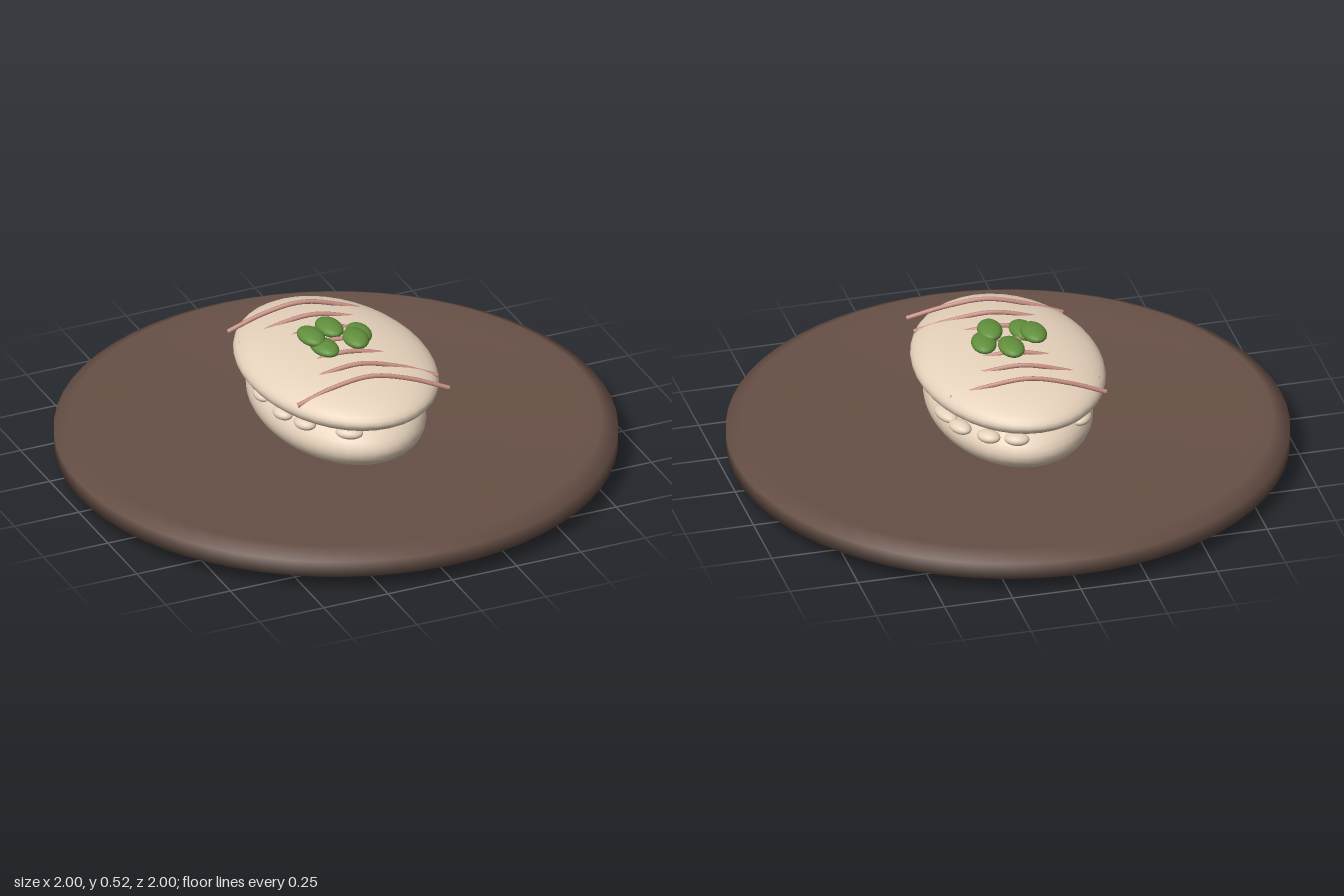
import * as THREE from 'three';

export function createModel() {
  const model = new THREE.Group();
  const paint = (name, color) => {
    const m = new THREE.MeshStandardMaterial({ color });
    m.name = name;
    return m;
  };
  const wood = paint('dark brown plate', 0x675046);
  const dough = paint('cream dough', 0xe8d4bd);
  const green = paint('leaf green', 0x618f3c);
  const sauce = paint('rosy sauce', 0xc68e83);

  const add = (name, geometry, material, parent = model) => {
    const mesh = new THREE.Mesh(geometry, material);
    mesh.name = name;
    parent.add(mesh);
    return mesh;
  };
  const group = (name) => {
    const g = new THREE.Group();
    g.name = name;
    model.add(g);
    return g;
  };
  const ball = new THREE.SphereGeometry(1, 24, 16);

  // Round plate: sloping underside, chamfered lip and a floor dipping to the middle
  const rim = [[0, 0], [0.71, 0], [1, 0.06], [1, 0.12], [0.94, 0.15], [0.88, 0.12], [0, 0.09]];
  add('plate', new THREE.LatheGeometry(rim.map(([x, y]) => new THREE.Vector2(x, y)), 64), wood);

  // Lower bun, an oval resting in the plate
  const lower = add('lowerBun', new THREE.SphereGeometry(1, 40, 24), dough);
  lower.scale.set(0.29, 0.145, 0.44);
  lower.position.y = 0.235;

  // Upper bun: wider and flatter, with a slightly full shoulder
  const shoulder = [];
  for (let i = 0; i <= 24; i++) {
    const a = (i / 24) * Math.PI;
    shoulder.push(new THREE.Vector2(Math.sin(a) ** (2 / 2.2), -Math.cos(a)));
  }
  const upper = add('upperBun', new THREE.LatheGeometry(shoulder, 40), dough);
  upper.scale.set(0.335, 0.095, 0.487);
  upper.position.y = 0.375;

  // Filling pieces around the seam: x, y, z, length
  const filling = group('filling');
  [
    [0.265, 0.287, -0.14, 0.065], [0.245, 0.295, -0.26, 0.05], [0.17, 0.305, -0.37, 0.045],
    [0.08, 0.308, -0.42, 0.045], [-0.19, 0.292, -0.3, 0.05], [-0.265, 0.29, -0.045, 0.05],
    [-0.26, 0.295, 0.12, 0.045], [-0.225, 0.3, 0.23, 0.045], [-0.12, 0.313, 0.38, 0.05],
  ].forEach(([x, y, z, length]) => {
    const piece = add('fillingPiece', ball, dough, filling);
    piece.position.set(x, y, z);
    piece.scale.set(0.033, 0.022, length);
    // lie along the edge of the oval
    piece.rotation.y = Math.atan2(-z / 0.19, x / 0.08);
  });

  // Seven arched sauce strands laid across the top
  const drizzle = group('drizzle');
  for (let i = 0; i < 7; i++) {
    const z = -0.28 + i * 0.1;
    const points = [-1, -0.5, 0, 0.5, 1].map((t) => new THREE.Vector3(
      t * 0.272, 0.4 + 0.075 * Math.cos(t * Math.PI / 2) ** 1.2, z + 0.05 * t - 0.017 * (1 - t * t)));
    const curve = new THREE.CatmullRomCurve3(points);
    add('sauceStrand', new THREE.TubeGeometry(curve, 32, 0.0085, 8), sauce, drizzle);
  }

  // Cluster of green garnish: x, y, z, yaw
  const garnish = group('garnish');
  [
    [-0.09, 0.498, -0.015, 0.05], [0.007, 0.484, -0.073, 0.03], [0.09, 0.475, -0.005, -0.12],
    [-0.065, 0.478, 0.045, 0.12], [0.053, 0.492, 0.052, -0.12],
  ].forEach(([x, y, z, yaw]) => {
    const leaf = add('garnishLeaf', ball, green, garnish);
    leaf.position.set(x, y, z);
    leaf.scale.set(0.045, 0.024, 0.07);
    leaf.rotation.y = yaw;
  });

  return model;
}
